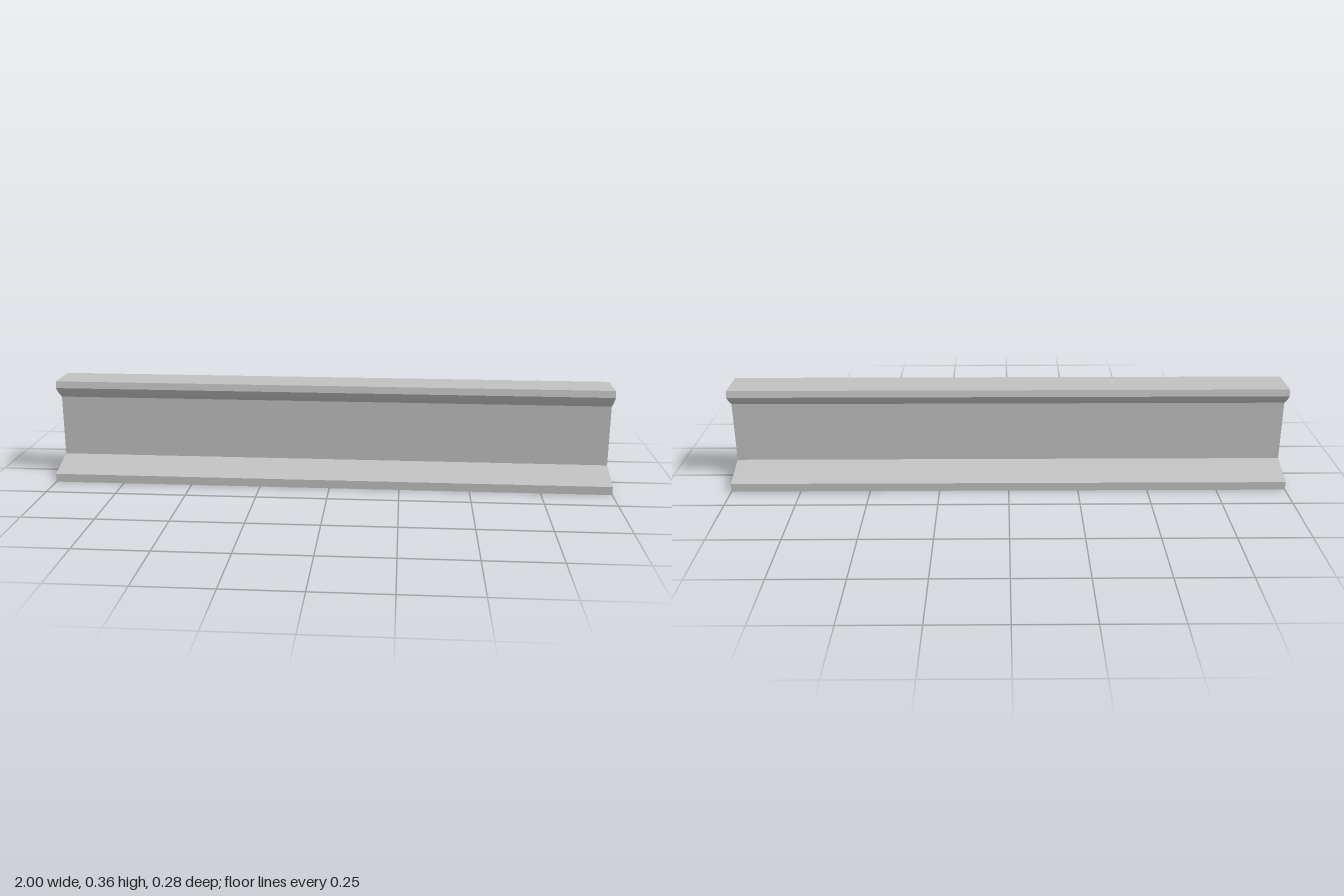
import * as THREE from 'three';

export function createModel() {
  const model = new THREE.Group();
  model.name = 'railSection';

  const steel = new THREE.MeshStandardMaterial({ color: 0xc0c0c0, flatShading: true });
  steel.name = 'steel grey';

  // Half cross-section from the foot up to the head: half width, height
  const half = [
    [0.14, 0], [0.14, 0.03],        // foot edge
    [0.017, 0.07], [0.017, 0.29],   // web
    [0.046, 0.31], [0.074, 0.336],  // underside of head
    [0.069, 0.36],                  // running surface
  ];
  const mirrored = half.map(([w, y]) => [-w, y]).reverse();
  const profile = new THREE.Shape([...half, ...mirrored].map(([w, y]) => new THREE.Vector2(w, y)));

  // Sweep the section along x
  const length = 2;
  const geometry = new THREE.ExtrudeGeometry(profile, { depth: length, bevelEnabled: false });
  geometry.translate(0, 0, -length / 2);
  geometry.rotateY(Math.PI / 2);

  const rail = new THREE.Mesh(geometry, steel);
  rail.name = 'rail';
  model.add(rail);
  return model;
}
